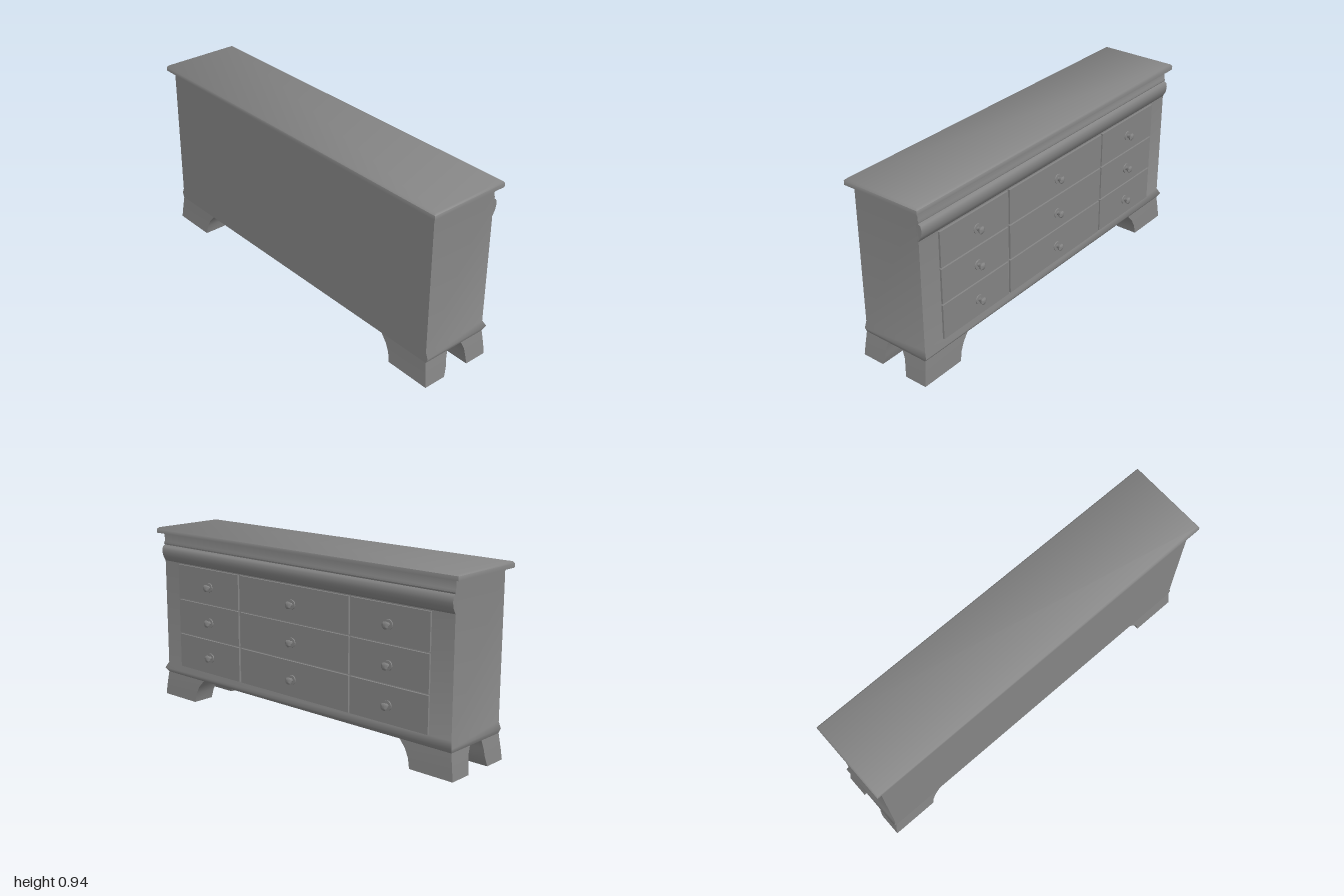
import * as THREE from 'three';
import { toCreasedNormals } from 'three/addons/utils/BufferGeometryUtils.js';

const grey = new THREE.MeshStandardMaterial({ color: 0x858585 });
const greyDouble = new THREE.MeshStandardMaterial({ color: 0x858585, side: THREE.DoubleSide });
const CREASE = 1.25;

// Skin of stacked rectangles [y, x0, x1, z0, z1], listed from bottom to top
function stack(sections, capped) {
  const pos = [];
  const corners = ([y, x0, x1, z0, z1]) => [[x0, y, z1], [x1, y, z1], [x1, y, z0], [x0, y, z0]];
  const quad = (a, b, c, d) => pos.push(...a, ...b, ...c, ...a, ...c, ...d);
  const rings = sections.map(corners);
  for (let i = 0; i + 1 < rings.length; i++) {
    for (let k = 0; k < 4; k++) {
      const n = (k + 1) % 4;
      quad(rings[i][k], rings[i][n], rings[i + 1][n], rings[i + 1][k]);
    }
  }
  if (capped) {
    quad(...rings[rings.length - 1]);
    quad(...[...rings[0]].reverse());
  }
  const geo = new THREE.BufferGeometry();
  geo.setAttribute('position', new THREE.Float32BufferAttribute(pos, 3));
  geo.computeVertexNormals();
  return toCreasedNormals(geo, CREASE);
}

export function createModel() {
  const model = new THREE.Group();
  model.name = 'dresser';
  const add = (name, geo, mat = grey, parent = model) => {
    const mesh = new THREE.Mesh(geo, mat);
    mesh.name = name;
    parent.add(mesh);
    return mesh;
  };

  // Case walls running smoothly into the base moulding, flat at the back, open below
  add('case', stack([
    [0.13, -0.195, 0.179, -0.972, 0.972],
    [0.155, -0.195, 0.196, -0.983, 0.983],
    [0.187, -0.195, 0.179, -0.97, 0.97],
    [0.915, -0.195, 0.179, -0.97, 0.97],
  ], false), greyDouble);

  // Floor set above the hollow base
  const floor = add('floor', new THREE.PlaneGeometry(0.373, 1.94).rotateX(Math.PI / 2), greyDouble);
  floor.position.set(-0.008, 0.187, 0);

  // Overhanging top with an eased upper edge
  add('top', stack([
    [0.915, -0.225, 0.207, -1, 1],
    [0.936, -0.225, 0.207, -1, 1],
    [0.945, -0.217, 0.199, -0.993, 0.993],
  ], true));

  // Rounded frieze rising to the underside of the top
  const profile = new THREE.Shape([
    [0.17, 0.76], [0.179, 0.763], [0.187, 0.778], [0.194, 0.79], [0.199, 0.812], [0.199, 0.825],
    [0.195, 0.843], [0.181, 0.851], [0.186, 0.859], [0.18, 0.87], [0.18, 0.915], [0.17, 0.915],
  ].map(([x, y]) => new THREE.Vector2(x, y)));
  const frieze = new THREE.ExtrudeGeometry(profile, { depth: 1.94, bevelEnabled: false });
  add('frieze', toCreasedNormals(frieze, CREASE)).position.z = -0.97;

  // Flared bracket feet: [y, outer x, inner x, outer z, inner z]
  const feet = {
    frontFoot: [
      [0, 0.189, 0.067, 0.99, 0.745], [0.05, 0.186, 0.061, 0.984, 0.735],
      [0.09, 0.183, 0.055, 0.978, 0.715], [0.13, 0.179, 0.037, 0.972, 0.68],
    ],
    backFoot: [
      [0, -0.205, -0.083, 0.99, 0.745], [0.05, -0.201, -0.069, 0.984, 0.735],
      [0.09, -0.198, -0.065, 0.978, 0.715], [0.13, -0.195, -0.054, 0.972, 0.68],
    ],
  };
  for (const [name, rows] of Object.entries(feet)) {
    for (const side of [1, -1]) {
      const sections = rows.map(([y, xo, xi, zo, zi]) => [
        y, Math.min(xo, xi), Math.max(xo, xi),
        Math.min(side * zo, side * zi), Math.max(side * zo, side * zi),
      ]);
      add(name, stack(sections, false), greyDouble);
    }
  }

  // Knob with a thin back plate, turned about the axis pointing out of the drawer
  const knobGeo = toCreasedNormals(new THREE.LatheGeometry([
    [0, 0], [0.025, 0], [0.024, 0.004], [0.01, 0.005], [0.01, 0.011],
    [0.018, 0.023], [0.019, 0.029], [0.013, 0.034], [0, 0.035],
  ].map(([r, h]) => new THREE.Vector2(r, h)), 12), 0.9);
  knobGeo.rotateZ(-Math.PI / 2);

  // Three columns of three drawers: [centre z, width, knob z]
  const columns = [[0.617, 0.465, 0.604], [0, 0.74, 0], [-0.613, 0.465, -0.612]];
  for (const y of [0.28, 0.4725, 0.665]) {
    for (const [z, width, knobZ] of columns) {
      const drawer = new THREE.Group();
      drawer.name = 'drawer';
      drawer.position.set(0.179, y, z);
      const front = add('drawerFront', new THREE.BoxGeometry(0.012, 0.184, width), grey, drawer);
      front.position.x = 0.004;
      const knob = add('knob', knobGeo, grey, drawer);
      knob.position.set(0.01, -0.003, knobZ - z);
      model.add(drawer);
    }
  }
  return model;
}
